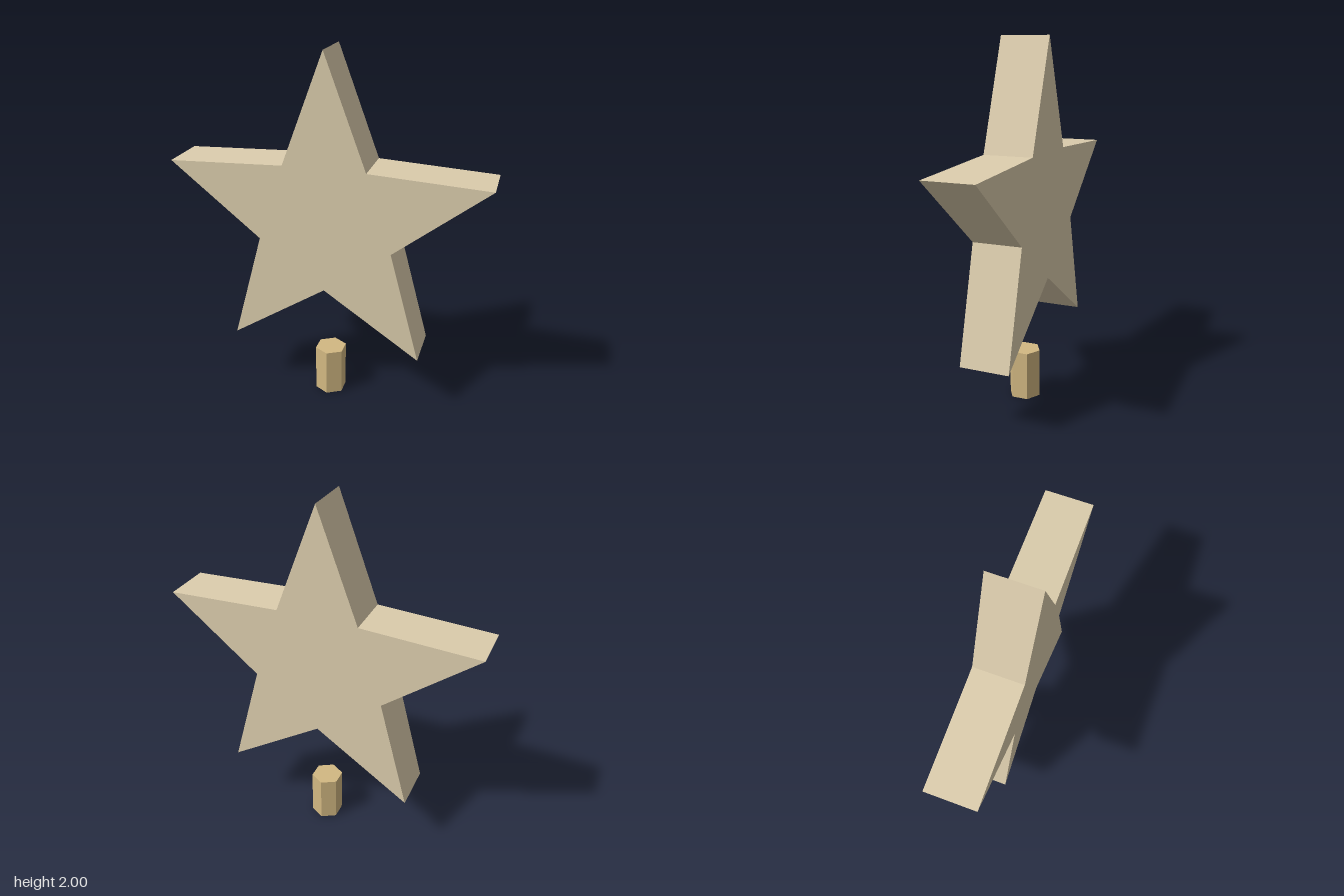
import * as THREE from 'three';

export function createModel() {
  const group = new THREE.Group();
  const paleSand = new THREE.MeshStandardMaterial({ color: 0xdccdad });
  paleSand.name = 'paleSand';
  const tan = new THREE.MeshStandardMaterial({ color: 0xd2b882 });
  tan.name = 'tan';

  // Five-pointed star: tips and notches alternate around the centre
  const tipRadius = 0.907, notchRadius = 0.383, depth = 0.272;
  const points = [];
  for (let i = 0; i < 10; i++) {
    const r = i % 2 ? notchRadius : tipRadius;
    const a = Math.PI / 2 + (i * Math.PI) / 5;
    points.push(new THREE.Vector2(r * Math.cos(a), r * Math.sin(a)));
  }
  const starGeometry = new THREE.ExtrudeGeometry(new THREE.Shape(points), { depth, bevelEnabled: false });
  starGeometry.translate(0, 2 - tipRadius, -depth / 2);
  const star = new THREE.Mesh(starGeometry, paleSand);
  star.name = 'star';
  group.add(star);

  // Short six-sided post below the star, with an edge facing the front
  const height = 0.274;
  const postGeometry = new THREE.CylinderGeometry(0.09, 0.09, height, 6).toNonIndexed();
  postGeometry.computeVertexNormals();
  postGeometry.translate(0, height / 2, 0);
  const post = new THREE.Mesh(postGeometry, tan);
  post.name = 'post';
  group.add(post);

  return group;
}
